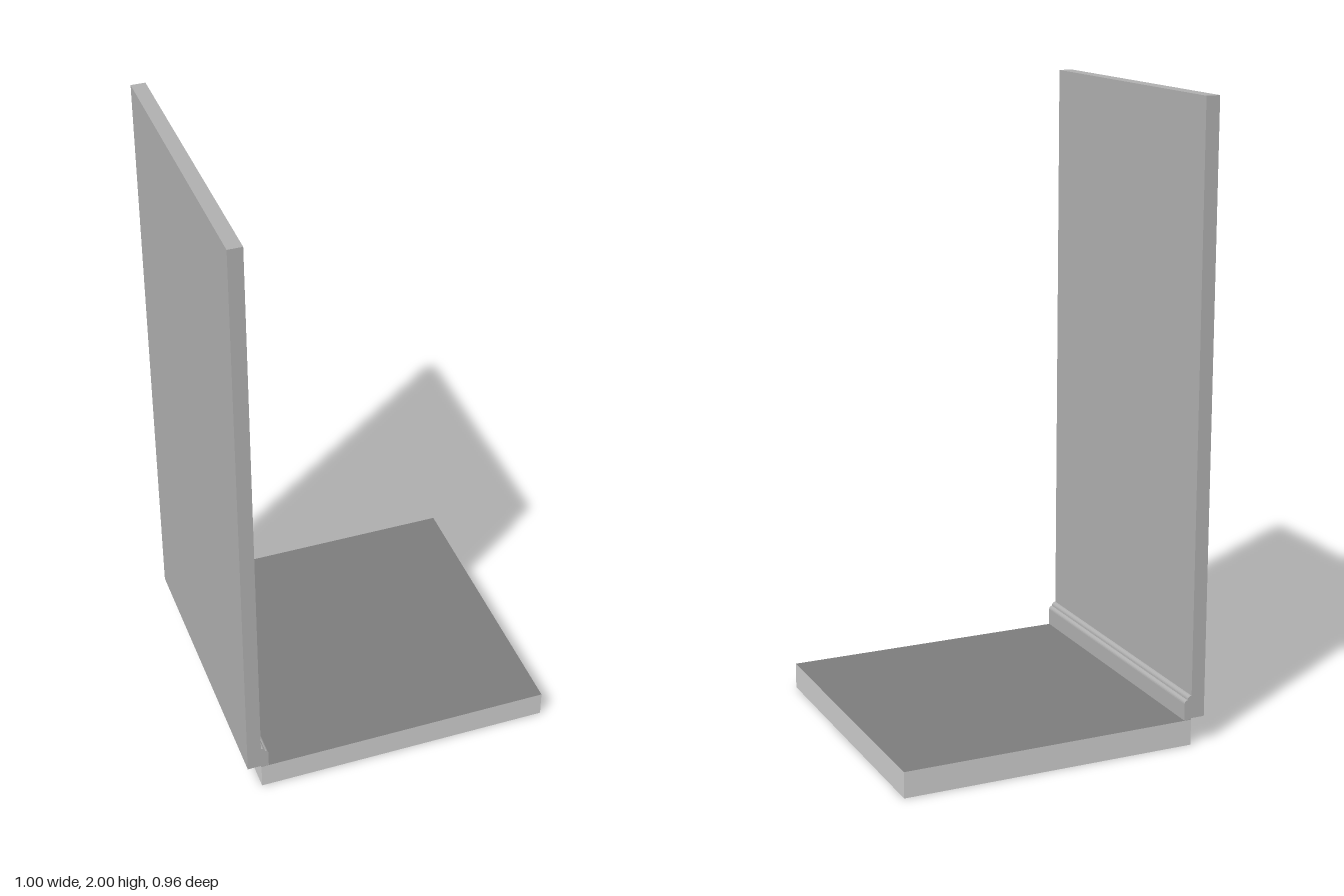
import * as THREE from 'three';

const DEPTH = 0.958;
const grey = (color) => new THREE.MeshStandardMaterial({ color, flatShading: true });
const slabEdge = grey(0xcccccc);
const flooring = grey(0x7c7c7c);
const paint = grey(0xafafaf);

// Rectangular slab between two x and two y limits.
function slab(name, x0, x1, y0, y1, material) {
  const mesh = new THREE.Mesh(new THREE.BoxGeometry(x1 - x0, y1 - y0, DEPTH), material);
  mesh.position.set((x0 + x1) / 2, (y0 + y1) / 2, 0);
  mesh.name = name;
  return mesh;
}

// Convex quarter round, from its top inner end down to its outer end.
function quarterRound(x, y, radius, steps = 5) {
  return Array.from({ length: steps + 1 }, (_, i) => {
    const angle = (i / steps) * Math.PI / 2;
    return new THREE.Vector2(x + radius * Math.sin(angle), y + radius * Math.cos(angle));
  });
}

// Skirting board: flat face topped by two stepped quarter rounds.
function skirtingBoard() {
  const shape = new THREE.Shape([
    new THREE.Vector2(-0.456, 0.084),
    new THREE.Vector2(-0.432, 0.084),
    ...quarterRound(-0.443, 0.138, 0.011).reverse(),
    ...quarterRound(-0.454, 0.151, 0.011).reverse(),
    new THREE.Vector2(-0.456, 0.162),
  ]);
  const geometry = new THREE.ExtrudeGeometry(shape, { depth: DEPTH, bevelEnabled: false });
  geometry.translate(0, 0, -DEPTH / 2);
  const mesh = new THREE.Mesh(geometry, paint);
  mesh.name = 'skirtingBoard';
  return mesh;
}

export function createModel() {
  const model = new THREE.Group();
  model.name = 'wallAndFloorSection';

  // Floor: dark top and underside, light cut edges
  model.add(slab('floor', -0.456, 0.501, 0, 0.083,
    [slabEdge, slabEdge, flooring, flooring, slabEdge, slabEdge]));
  model.add(slab('wall', -0.501, -0.456, 0.088, 2, paint));
  model.add(skirtingBoard());

  return model;
}
